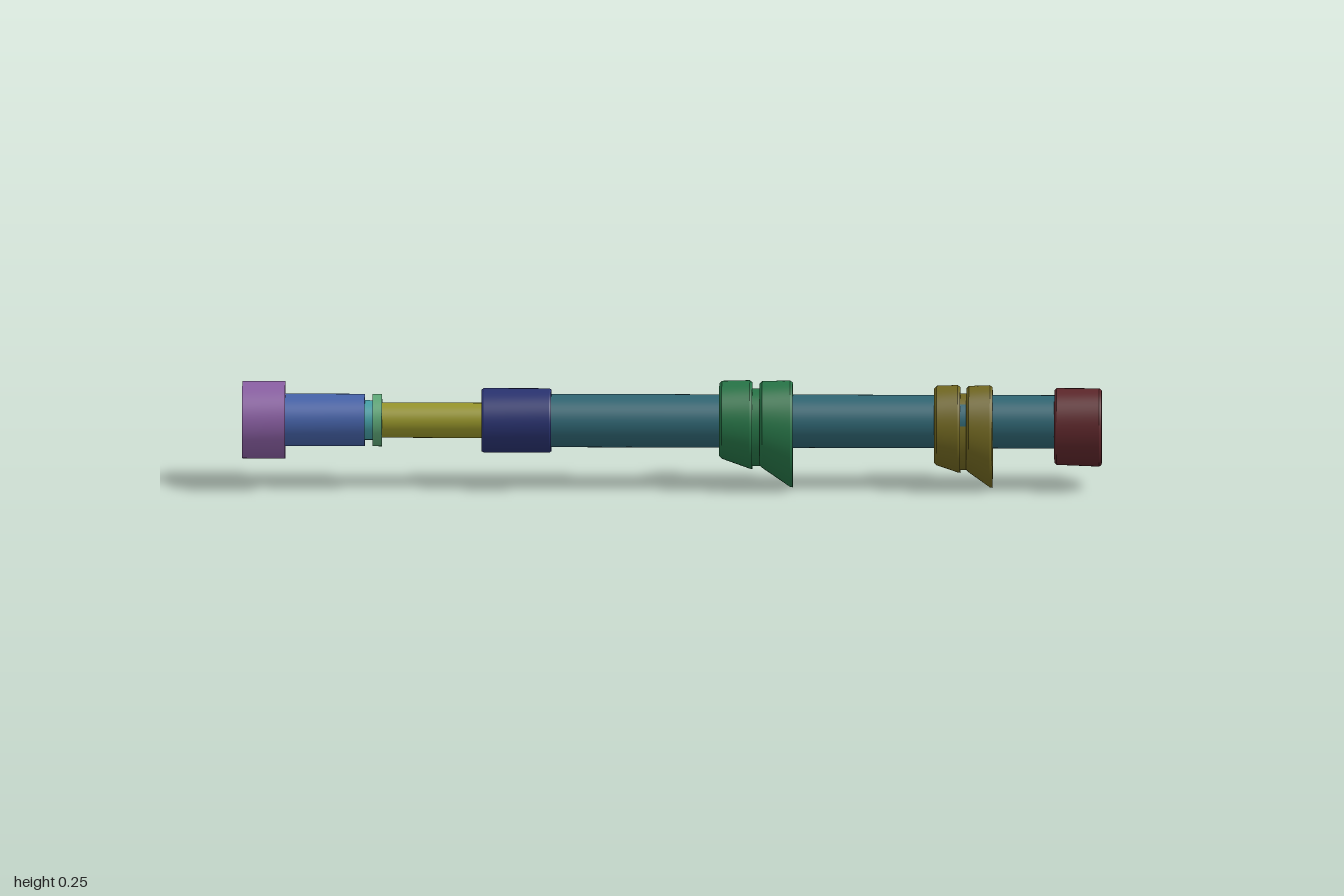
import * as THREE from 'three';

const SEGMENTS = 56;
const AXIS = 0.16;

// Skins elliptical sections along x: each is [x, top, bottom, half depth].
// Every band has its own vertices, so edges between bands stay sharp.
function loft(sections) {
  const pos = [], index = [];
  for (let s = 0; s < sections.length - 1; s++) {
    const base = pos.length / 3;
    for (const [x, top, bottom, rz] of [sections[s], sections[s + 1]]) {
      for (let i = 0; i < SEGMENTS; i++) {
        const a = (i / SEGMENTS) * Math.PI * 2;
        pos.push(x, (top + bottom) / 2 + ((top - bottom) / 2) * Math.cos(a), rz * Math.sin(a));
      }
    }
    for (let i = 0; i < SEGMENTS; i++) {
      const j = (i + 1) % SEGMENTS;
      const a = base + i, b = base + j, c = a + SEGMENTS, d = b + SEGMENTS;
      index.push(a, b, c, b, d, c);
    }
  }
  const geo = new THREE.BufferGeometry();
  geo.setAttribute('position', new THREE.Float32BufferAttribute(pos, 3));
  geo.setIndex(index);
  geo.computeVertexNormals();
  return geo;
}

// Round section on the main axis
const round = (x, r) => [x, AXIS + r, AXIS - r, r];

// Closes both ends of a run of sections
function capped(sections) {
  const point = ([x, top, bottom]) => [x, (top + bottom) / 2, (top + bottom) / 2, 0];
  return [point(sections[0]), ...sections, point(sections[sections.length - 1])];
}

export function createModel() {
  const model = new THREE.Group();
  model.name = 'telescopicTube';

  function add(name, color, sections, parent = model) {
    const mesh = new THREE.Mesh(loft(sections), new THREE.MeshStandardMaterial({ color }));
    mesh.name = name;
    parent.add(mesh);
  }
  const cylinder = (name, color, x0, x1, r) =>
    add(name, color, capped([round(x0, r), round(x1, r)]));

  // Rear cup with a shallow recess and a plug inside it
  add('endCup', 0x8a5fa3, capped([
    round(-0.985, 0.053), round(-1, 0.053), round(-1, 0.09), round(-0.9, 0.09),
  ]));
  cylinder('endPlug', 0x5c262a, -0.99, -0.975, 0.052);

  // Rear handle, neck rings and the thin sliding rod
  cylinder('rearTube', 0x4562a8, -0.9, -0.715, 0.061);
  cylinder('neck', 0x459fa5, -0.72, -0.69, 0.046);
  cylinder('neckRing', 0x5da777, -0.697, -0.675, 0.061);
  cylinder('slidingRod', 0x96942a, -0.69, -0.42, 0.041);

  // Front sleeve around the open mouth of the main tube
  add('sleeve', 0x29326f, capped([
    round(-0.425, 0.06), round(-0.44, 0.06), round(-0.443, 0.063), round(-0.443, 0.072),
    round(-0.438, 0.075), round(-0.286, 0.075), round(-0.281, 0.072),
  ]));
  cylinder('mouthSeal', 0x5f3050, -0.436, -0.42, 0.059);
  cylinder('mainTube', 0x2f6572, -0.3, 0.93, 0.062);

  // Pairs of flared collars whose undersides sweep down toward the left end
  function collar(name, color, x, width, gap, top, rz, bottoms) {
    const group = new THREE.Group();
    group.name = name;
    model.add(group);
    const b = 0.006;
    bottoms.forEach(([y0, y1], i) => {
      const x0 = x + i * (width + gap), x1 = x0 + width;
      add('flare' + (i + 1), color, capped([
        [x0, top - 0.006, y0 + 0.006, rz - 0.005],
        [x0 + b, top, y0, rz],
        [x1 - b, top + 0.002, y1, rz],
        [x1, top - 0.003, y1 - 0.001, rz - 0.003],
      ]), group);
    });
    const mid = x + width;
    add('groove', color, capped([
      [mid - 0.01, top - 0.018, bottoms[0][1] + 0.005, rz - 0.012],
      [mid + gap + 0.01, top - 0.018, bottoms[1][0] + 0.005, rz - 0.012],
    ]), group);
  }
  collar('middleCollar', 0x267346, 0.11, 0.077, 0.017, 0.254, 0.084, [[0.072, 0.048], [0.05, 0.004]]);
  collar('frontCollar', 0x706620, 0.61, 0.061, 0.014, 0.244, 0.077, [[0.057, 0.04], [0.04, 0.004]]);

  // Oval end cap with softened rims
  add('endCap', 0x5c262a, capped([
    [0.89, 0.234, 0.064, 0.071], [0.895, 0.239, 0.059, 0.074],
    [0.994, 0.239, 0.055, 0.075], [1, 0.234, 0.059, 0.071],
  ]));

  return model;
}
